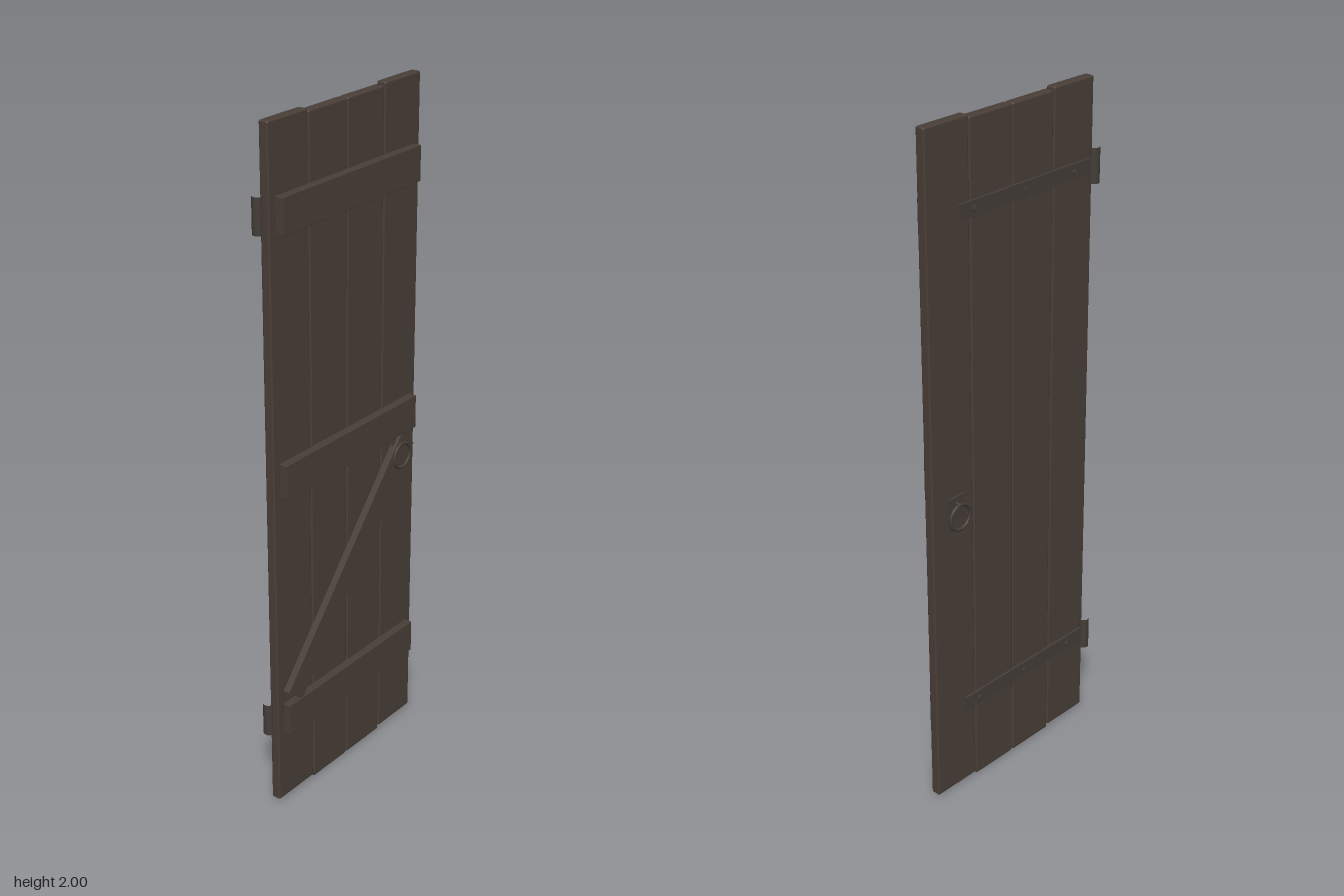
import * as THREE from 'three';
import { RoundedBoxGeometry } from 'three/addons/geometries/RoundedBoxGeometry.js';

export function createModel() {
  const door = new THREE.Group();
  door.name = 'plankDoor';

  const wood = new THREE.MeshStandardMaterial({ color: 0x4a3f38 });
  wood.name = 'dark wood';
  const iron = new THREE.MeshStandardMaterial({ color: 0x453e39 });
  iron.name = 'dark iron';

  function add(name, geometry, material, x, y, z, parent = door) {
    const mesh = new THREE.Mesh(geometry, material);
    mesh.name = name;
    mesh.position.set(x, y, z);
    parent.add(mesh);
    return mesh;
  }

  // Four upright planks with eased edges and slightly staggered ends
  const plankEnds = [[0.008, 2], [0, 1.993], [0, 1.993], [0.008, 2]];
  plankEnds.forEach(([bottom, top], i) => {
    add('plank', new RoundedBoxGeometry(0.153, top - bottom, 0.029, 2, 0.005), wood,
      -0.2265 + i * 0.156, (top + bottom) / 2, 0);
  });

  // Three cross battens on the front
  for (const y of [0.278, 1.03, 1.76]) {
    add('batten', new RoundedBoxGeometry(0.574, 0.1, 0.025, 1, 0.002), wood, 0.007, y, 0.0262);
  }

  // Diagonal brace between the lower two battens
  const start = new THREE.Vector2(-0.25, 0.345);
  const end = new THREE.Vector2(0.262, 0.955);
  const brace = add('brace', new THREE.BoxGeometry(start.distanceTo(end), 0.075, 0.021), wood,
    (start.x + end.x) / 2, (start.y + end.y) / 2, 0.0245);
  brace.rotation.z = Math.atan2(end.y - start.y, end.x - start.x);

  // Strap hinges on the back: strap, hollow barrel and rivets
  for (const y of [0.278, 1.76]) {
    const hinge = new THREE.Group();
    hinge.name = 'hinge';
    hinge.position.y = y;
    door.add(hinge);
    add('strap', new THREE.BoxGeometry(0.513, 0.044, 0.007), iron, -0.0475, 0, -0.0205, hinge);
    add('barrel', new THREE.CylinderGeometry(0.016, 0.016, 0.1, 12, 1, true), iron,
      -0.303, 0, -0.021, hinge);
    for (const x of [-0.22, -0.031, 0.157]) {
      const shank = add('rivet', new THREE.CylinderGeometry(0.006, 0.006, 0.006, 8), iron,
        x, 0, -0.026, hinge);
      const head = add('rivetHead', new THREE.CylinderGeometry(0.009, 0.009, 0.005, 8), iron,
        x, 0, -0.0285, hinge);
      shank.rotation.x = head.rotation.x = Math.PI / 2;
    }
  }

  // Ring pull with back plate on both faces
  for (const side of [-1, 1]) {
    const pull = new THREE.Group();
    pull.name = side < 0 ? 'backPull' : 'frontPull';
    pull.position.x = 0.235;
    door.add(pull);
    add('pullPlate', new THREE.BoxGeometry(0.058, 0.07, 0.005), iron, 0, 0.935, side * 0.0215, pull);
    const stem = add('pullStem', new THREE.CylinderGeometry(0.006, 0.006, 0.016, 8), iron,
      0, 0.949, side * 0.031, pull);
    stem.rotation.x = Math.PI / 2;
    add('pullRing', new THREE.TorusGeometry(0.037, 0.005, 8, 24), iron, 0, 0.912, side * 0.0355, pull);
  }

  return door;
}
